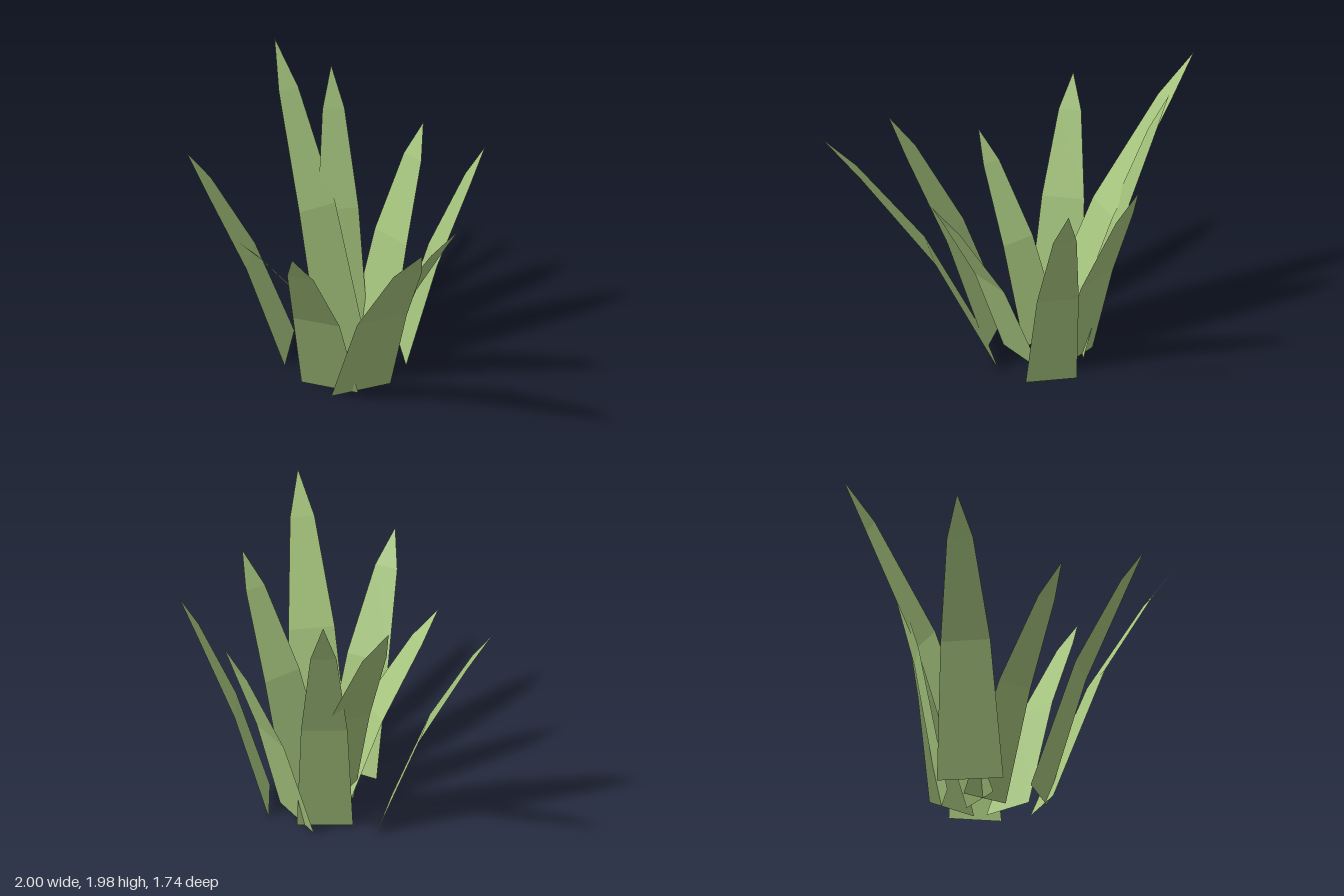
import * as THREE from 'three';

// Each blade: base centre x, z, tip x, z, tip height, base width
const BLADES = [
  [-0.06, -0.39, 0.01, -0.87, 1.55, 0.385],
  [0.195, -0.40, 0.545, -0.755, 1.61, 0.34],
  [0.128, -0.103, 0.83, 0.01, 1.52, 0.367],
  [0.205, 0.10, 1.0, 0.69, 1.81, 0.42],
  [0.02, 0.205, 0.26, 0.87, 1.57, 0.40],
  [-0.115, -0.098, -0.34, 0.63, 1.30, 0.317],
  [-0.45, 0.04, -1.0, 0.33, 1.55, 0.39],
  [-0.11, -0.14, -1.0, -0.59, 1.98, 0.357],
  [-0.245, -0.31, -0.595, -0.67, 1.87, 0.37],
];

// Sections along a blade: outward fraction, height fraction, width fraction
const SECTIONS = [
  [0, 0, 1],
  [0.39, 0.5, 0.76],
  [0.8, 0.855, 0.4],
  [1, 1, 0],
];

// Flat pointed leaf that leans outward and bends at each section
function bladeGeometry([bx, bz, tx, tz, height, width]) {
  const out = new THREE.Vector3(tx - bx, 0, tz - bz);
  const side = new THREE.Vector3(out.z, 0, -out.x).normalize();
  const rows = SECTIONS.map(([o, h, w]) => {
    const centre = new THREE.Vector3(bx, height * h, bz).addScaledVector(out, o);
    return [-1, 1].map((s) => centre.clone().addScaledVector(side, (s * w * width) / 2));
  });
  const points = [];
  for (let i = 0; i < rows.length - 1; i++) {
    const [a, b] = rows[i];
    const [c, d] = rows[i + 1];
    points.push(a, b, d);
    if (i < rows.length - 2) points.push(a, d, c); // the last section is a single triangle
  }
  const geometry = new THREE.BufferGeometry().setFromPoints(points);
  geometry.computeVertexNormals();
  return geometry;
}

export function createModel() {
  const plant = new THREE.Group();
  plant.name = 'grassTuft';
  const leafGreen = new THREE.MeshStandardMaterial({
    color: 0xa5c47d,
    side: THREE.DoubleSide,
    flatShading: true,
  });
  leafGreen.name = 'leafGreen';
  BLADES.forEach((blade, i) => {
    const mesh = new THREE.Mesh(bladeGeometry(blade), leafGreen);
    mesh.name = `blade${i + 1}`;
    plant.add(mesh);
  });
  return plant;
}
